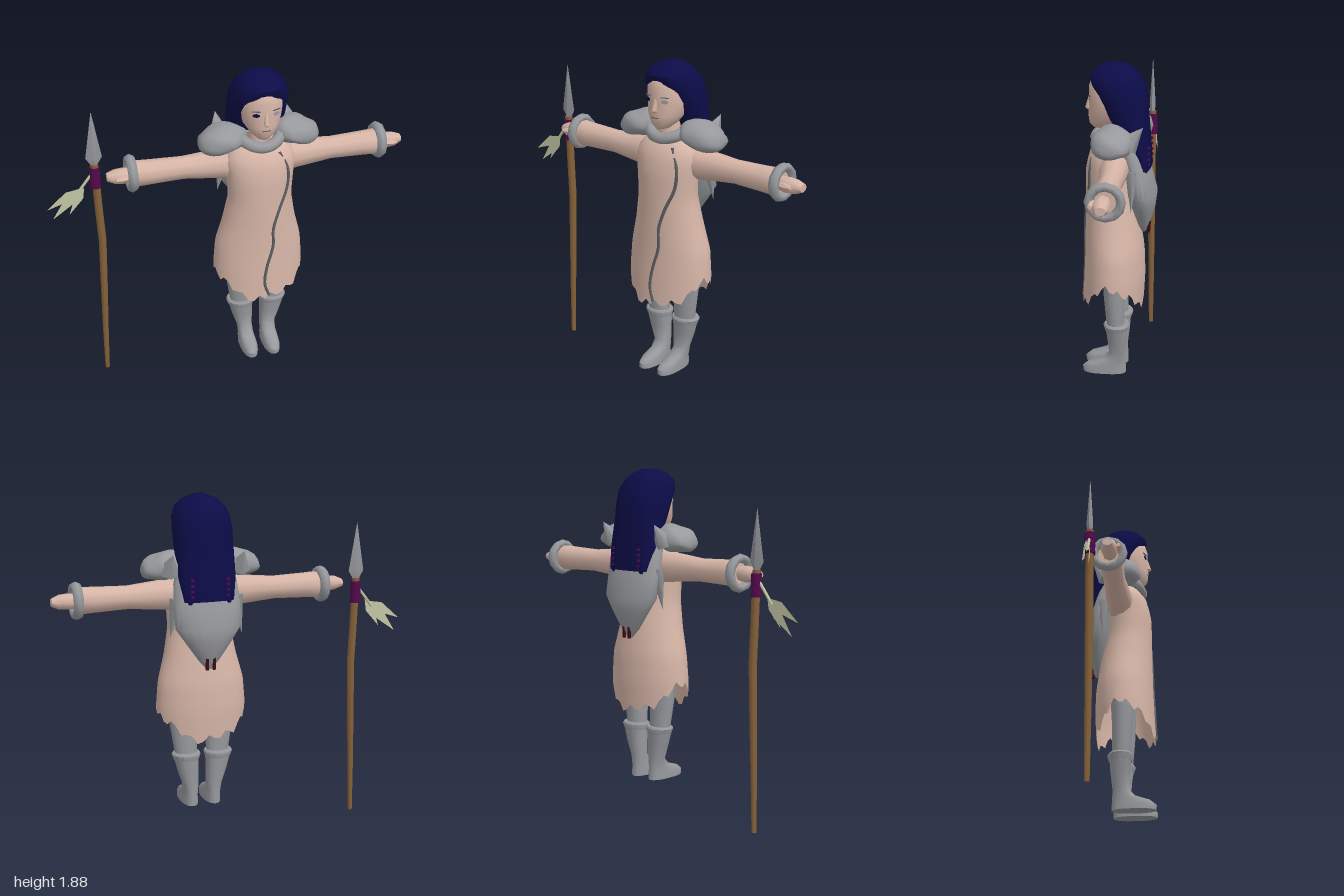
import * as THREE from 'three';
import { toCreasedNormals } from 'three/addons/utils/BufferGeometryUtils.js';

const mat = (name, color, side = THREE.FrontSide) => {
  const m = new THREE.MeshStandardMaterial({ color, side });
  m.name = name;
  return m;
};

// Closed skin through oval sections [y, centreX, halfWidth, frontZ, backZ], bottom to top
function loft(sections, n = 16, power = 1) {
  const pos = [], idx = [];
  const sq = v => Math.sign(v) * Math.abs(v) ** power;
  for (const [y, cx, rx, zf, zb] of sections)
    for (let j = 0; j < n; j++) {
      const a = j / n * Math.PI * 2;
      pos.push(cx + rx * sq(Math.sin(a)), y, (zf + zb) / 2 + (zf - zb) / 2 * sq(Math.cos(a)));
    }
  const rows = sections.length;
  for (const i of [0, rows - 1]) {
    const [y, cx, , zf, zb] = sections[i];
    pos.push(cx, y, (zf + zb) / 2);
  }
  for (let j = 0; j < n; j++) {
    const k = (j + 1) % n, top = (rows - 1) * n;
    for (let i = 0; i < rows - 1; i++) {
      const a = i * n + j, b = i * n + k;
      idx.push(a, b, b + n, a, b + n, a + n);
    }
    idx.push(rows * n, k, j, rows * n + 1, top + j, top + k);
  }
  const g = new THREE.BufferGeometry();
  g.setAttribute('position', new THREE.Float32BufferAttribute(pos, 3));
  g.setIndex(idx);
  return toCreasedNormals(g, 0.9);
}

// Tunic outline by height: [y, halfWidth, frontZ, backZ]
const TUNIC = [[0.45, 0.25, 0.2, -0.135], [0.7, 0.257, 0.187, -0.148], [0.85, 0.245, 0.18, -0.143],
  [1.0, 0.205, 0.178, -0.12], [1.15, 0.178, 0.177, -0.09], [1.3, 0.185, 0.175, -0.07],
  [1.4, 0.195, 0.155, -0.07], [1.46, 0.15, 0.115, -0.06], [1.5, 0.06, 0.06, -0.03]];

function tunicAt(y) {
  let i = 0;
  while (i < TUNIC.length - 2 && y > TUNIC[i + 1][0]) i++;
  const t = (y - TUNIC[i][0]) / (TUNIC[i + 1][0] - TUNIC[i][0]);
  return TUNIC[i].map((v, k) => v + (TUNIC[i + 1][k] - v) * t);
}

// Tunic skin with a ragged hem, long at front and back
function tunicGeometry() {
  const n = 48, rows = 20, pos = [], idx = [];
  for (let i = 0; i <= rows; i++)
    for (let j = 0; j < n; j++) {
      const a = j / n * Math.PI * 2;
      const hem = 0.7 - 0.16 * Math.abs(Math.cos(a)) ** 1.5 + 0.022 * Math.sin(j * 1.9) + 0.012 * Math.sin(j * 0.8);
      const y = hem + (1.5 - hem) * i / rows;
      const [, rx, zf, zb] = tunicAt(y);
      pos.push(rx * Math.sin(a), y, (zf + zb) / 2 + (zf - zb) / 2 * Math.cos(a));
    }
  for (let i = 0; i < rows; i++)
    for (let j = 0; j < n; j++) {
      const a = i * n + j, b = i * n + (j + 1) % n;
      idx.push(a, b, b + n, a, b + n, a + n);
    }
  const g = new THREE.BufferGeometry();
  g.setAttribute('position', new THREE.Float32BufferAttribute(pos, 3));
  g.setIndex(idx);
  g.computeVertexNormals();
  return g;
}

export function createModel() {
  const skin = mat('skin and cloth', 0xd6b5a7, THREE.DoubleSide);
  const grey = mat('grey leather', 0x97999d);
  const darkGrey = mat('dark grey trim', 0x5e5f63);
  const navy = mat('navy hair', 0x0c0c48);
  const wood = mat('wood', 0x86623a);
  const purple = mat('purple wrap', 0x52084a);
  const pale = mat('pale feather', 0xc3c6a4, THREE.DoubleSide);
  const maroon = mat('maroon', 0x3c0c16);

  const model = new THREE.Group();
  const figure = new THREE.Group();
  figure.name = 'figure';
  figure.position.x = 0.155;
  model.add(figure);
  const add = (name, geo, m, parent = figure, x = 0, y = 0, z = 0) => {
    const mesh = new THREE.Mesh(geo, m);
    mesh.name = name;
    mesh.position.set(x, y, z);
    parent.add(mesh);
    return mesh;
  };

  // Head, neck and face
  add('head', loft([[1.535, 0, 0.035, 0.135, 0.05], [1.56, 0, 0.065, 0.155, 0], [1.61, 0, 0.1, 0.16, -0.06],
    [1.68, 0, 0.118, 0.155, -0.1], [1.75, 0, 0.12, 0.157, -0.1], [1.8, 0, 0.1, 0.142, -0.09], [1.84, 0, 0.06, 0.09, -0.05]], 24), skin);
  add('neck', new THREE.CylinderGeometry(0.055, 0.07, 0.18, 14), skin, figure, 0, 1.49, 0.03);
  add('nose', loft([[1.625, 0, 0.008, 0.165, 0.14], [1.637, 0, 0.017, 0.178, 0.14], [1.7, 0, 0.008, 0.158, 0.14]], 8), skin);
  add('mouth', new THREE.BoxGeometry(0.045, 0.005, 0.008), darkGrey, figure, 0, 1.598, 0.155);
  for (const s of [-1, 1]) {
    const eye = add('eye', new THREE.CircleGeometry(0.02, 12).scale(1, 0.55, 1), s < 0 ? navy : grey, figure, s * 0.055, 1.69, 0.146);
    eye.rotation.y = s * 0.35;
    const brow = add('eyebrow', new THREE.BoxGeometry(0.045, 0.004, 0.006), darkGrey, figure, s * 0.056, 1.712, 0.144);
    brow.rotation.y = s * 0.35;
  }

  // Long hair, open around the face, with pointed ends
  add('hair', loft([[1.33, 0, 0.14, -0.12, -0.182], [1.45, 0, 0.16, -0.05, -0.175], [1.54, 0, 0.162, 0.01, -0.168],
    [1.62, 0, 0.163, 0.06, -0.162], [1.7, 0, 0.163, 0.1, -0.157], [1.77, 0, 0.157, 0.138, -0.145],
    [1.82, 0, 0.135, 0.15, -0.115], [1.86, 0, 0.095, 0.115, -0.075], [1.885, 0, 0.035, 0.055, -0.02]], 24, 0.85), navy);
  for (let i = -2; i <= 2; i++)
    add('hairTip', new THREE.ConeGeometry(0.034, 0.09, 6).scale(1, 1, 0.6).rotateX(Math.PI), navy, figure, i * 0.052, 1.3 + 0.008 * Math.abs(i), -0.155);
  for (const s of [-1, 1])
    for (let i = 0; i < 4; i++)
      add('hairBead', new THREE.BoxGeometry(0.016, 0.012, 0.012), purple, figure, s * 0.1, 1.36 + i * 0.03, -0.172);

  // Tunic with a wavy front seam
  add('tunic', tunicGeometry(), skin);
  const seam = [[0.085, 1.44], [0.13, 1.34], [0.125, 1.23], [0.075, 1.1], [0.043, 0.99], [0.043, 0.88], [0.008, 0.75], [-0.005, 0.64], [0.02, 0.56]];
  const seamCurve = new THREE.CatmullRomCurve3(seam.map(([x, y]) => {
    const [, rx, zf, zb] = tunicAt(y);
    return new THREE.Vector3(x, y, (zf + zb) / 2 + (zf - zb) / 2 * Math.sqrt(1 - (x / rx) ** 2));
  }));
  add('frontSeam', new THREE.TubeGeometry(seamCurve, 40, 0.009, 6), darkGrey);

  // Collar dipping at the front
  const collar = [];
  for (let i = 0; i < 16; i++) {
    const a = i / 16 * Math.PI * 2, c = Math.cos(a);
    collar.push(new THREE.Vector3(0.115 * Math.sin(a), 1.515 - 0.035 * Math.max(0, c) ** 2, 0.02 + 0.1 * c));
  }
  add('collar', new THREE.TubeGeometry(new THREE.CatmullRomCurve3(collar, true), 40, 0.032, 8, true), grey);

  // Hood cloth hanging down the back
  add('backCape', loft([[0.95, 0, 0.015, -0.13, -0.15], [1.0, 0, 0.06, -0.1, -0.172], [1.1, 0, 0.13, -0.07, -0.202],
    [1.18, 0, 0.185, -0.05, -0.212], [1.3, 0, 0.19, -0.04, -0.18], [1.42, 0, 0.18, 0, -0.155], [1.53, 0, 0.15, 0.03, -0.12]], 20), grey);
  for (const x of [-0.02, 0.02])
    add('capeTassel', new THREE.BoxGeometry(0.014, 0.07, 0.015), maroon, figure, x, 0.985, -0.167);

  for (const s of [-1, 1]) {
    const side = new THREE.Group();
    side.name = s > 0 ? 'leftSide' : 'rightSide';
    figure.add(side);

    // Cape corner pointing down beside the waist
    add('capePoint', new THREE.ConeGeometry(0.06, 0.22, 5).scale(0.8, 1, 0.6).rotateX(Math.PI).rotateZ(s * 0.2), grey, side, s * 0.185, 1.23, -0.09);

    // Lumpy shoulder pad with a raised rear point
    const pad = new THREE.SphereGeometry(1, 20, 14), p = pad.attributes.position;
    for (let i = 0; i < p.count; i++) {
      const x = p.getX(i), y = p.getY(i), z = p.getZ(i);
      const k = 1 + 0.06 * Math.sin(5 * x * s + 4 * z) * Math.cos(4 * y);
      p.setXYZ(i, x * 0.135 * k, (y < 0 ? y * 0.065 : y * 0.085) * k - s * x * 0.02, z * 0.115 * k);
    }
    pad.computeVertexNormals();
    add('shoulderPad', pad, grey, side, s * 0.205, 1.5, 0.01);
    add('padPoint', new THREE.ConeGeometry(0.06, 0.13, 6).rotateX(-0.7), grey, side, s * 0.2, 1.54, -0.11);

    // Arm, cuff and hand, built upright then turned sideways
    const turn = g => g.rotateZ(-s * Math.PI / 2);
    add('arm', turn(loft([[0.08, 0, 0.1, 0.09, -0.08], [0.22, 0, 0.083, 0.075, -0.075], [0.42, 0, 0.064, 0.052, -0.068],
      [0.6, 0, 0.07, 0.056, -0.075], [0.7, 0, 0.075, 0.058, -0.08]], 10)), skin, side, 0, 1.35, 0);
    add('cuff', new THREE.TorusGeometry(0.08, 0.024, 6, 12).scale(1, 1, 1.2).rotateY(Math.PI / 2), grey, side, s * 0.7, 1.352, -0.018);
    add('hand', turn(loft([[0.68, 0, 0.038, 0.025, -0.045], [0.74, 0, 0.044, 0.04, -0.055],
      [0.79, 0, 0.04, 0.035, -0.052], [0.832, 0, 0.022, 0.015, -0.04]], 8)), skin, side, 0, 1.35, 0);
    add('thumb', turn(loft([[0.72, 0, 0.016, 0.05, 0.01], [0.76, 0, 0.018, 0.06, 0.02], [0.79, 0, 0.01, 0.055, 0.03]], 6)), skin, side, 0, 1.355, 0);

    // Leg and boot
    add('leg', loft([[0.4, s * 0.09, 0.062, 0.055, -0.045], [0.6, s * 0.105, 0.078, 0.07, -0.045], [0.85, s * 0.1, 0.09, 0.08, -0.06]], 14), grey, side);
    add('boot', loft([[0.12, s * 0.067, 0.047, 0.193, -0.05], [0.15, s * 0.067, 0.048, 0.195, -0.05], [0.175, s * 0.067, 0.045, 0.165, -0.048],
      [0.2, s * 0.068, 0.043, 0.085, -0.047], [0.24, s * 0.07, 0.045, 0.045, -0.045], [0.33, s * 0.085, 0.06, 0.052, -0.055], [0.4, s * 0.093, 0.07, 0.06, -0.06]], 16, 0.85), grey, side);
    add('bootCuff', loft([[0.395, s * 0.093, 0.074, 0.064, -0.064], [0.425, s * 0.094, 0.083, 0.073, -0.073], [0.435, s * 0.094, 0.076, 0.066, -0.066]], 16), grey, side);
  }

  // Spear with a slightly bent shaft
  const spear = new THREE.Group();
  spear.name = 'spear';
  spear.position.z = -0.1;
  model.add(spear);
  add('shaft', loft([[0, -0.728, 0.013, 0.013, -0.013], [0.3, -0.723, 0.017, 0.017, -0.017], [0.6, -0.715, 0.02, 0.02, -0.02],
    [0.9, -0.708, 0.022, 0.022, -0.022], [1.1, -0.717, 0.022, 0.022, -0.022], [1.39, -0.727, 0.022, 0.022, -0.022]], 8), wood, spear);
  for (let i = 0; i < 3; i++)
    add('wrap', new THREE.CylinderGeometry(0.028, 0.031, 0.041, 10), purple, spear, -0.727, 1.27 + i * 0.041, 0);
  add('spearhead', loft([[1.375, -0.727, 0.012, 0.012, -0.012], [1.43, -0.727, 0.045, 0.018, -0.018],
    [1.7, -0.727, 0.001, 0.001, -0.001]], 4), grey, spear);

  // Feathers tied below the spearhead: [root x, y, tip x, y, half width, z]
  const feathers = [[-0.81, 1.25, -1.0, 1.14, 0.03, 0], [-0.82, 1.23, -0.97, 1.07, 0.03, -0.012], [-0.79, 1.26, -0.88, 1.1, 0.025, 0.01]];
  for (const [x0, y0, x1, y1, w, z] of feathers) {
    const dx = x1 - x0, dy = y1 - y0, l = Math.hypot(dx, dy), nx = -dy / l * w, ny = dx / l * w;
    const at = t => [x0 + dx * t, y0 + dy * t];
    const [ax, ay] = at(0.35);
    const shape = new THREE.Shape([[x0, y0], [ax + nx, ay + ny], [x1, y1], [ax - nx, ay - ny]].map(q => new THREE.Vector2(...q)));
    add('feather', new THREE.ShapeGeometry(shape), pale, spear, 0, 0, z);
  }
  const cord = new THREE.LineCurve3(new THREE.Vector3(-0.745, 1.33, 0), new THREE.Vector3(-0.83, 1.22, 0));
  add('featherCord', new THREE.TubeGeometry(cord, 1, 0.008, 6), pale, spear);
  return model;
}
